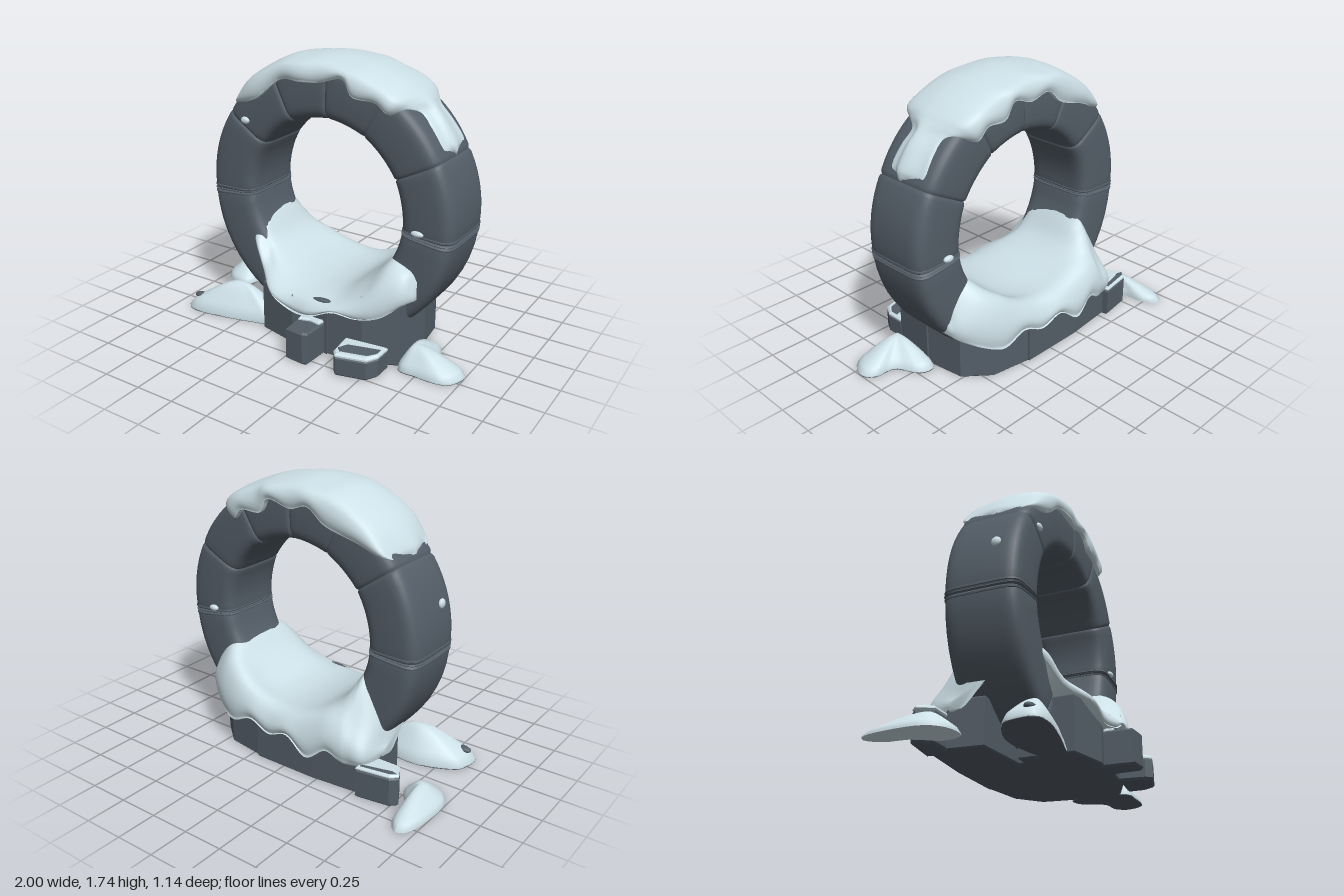
import * as THREE from 'three';
import { toCreasedNormals } from 'three/addons/utils/BufferGeometryUtils.js';

const V = (x, y, z) => new THREE.Vector3(x, y, z);
const CX = 0.045, CY = 0.865, CZ = -0.02; // ring centre
const rad = THREE.MathUtils.degToRad;

// Closed skin over a list of equal-length loops, with both ends capped
function skin(loops, crease = 0.7) {
  const n = loops[0].length, pts = loops.flat(), idx = [];
  for (let i = 0; i < loops.length - 1; i++) {
    for (let j = 0; j < n; j++) {
      const a = i * n + j, b = i * n + (j + 1) % n;
      idx.push(a, b, a + n, b, b + n, a + n);
    }
  }
  [0, loops.length - 1].forEach((row, end) => {
    const mid = loops[row].reduce((s, p) => s.add(p), V(0, 0, 0)).divideScalar(n);
    const c = pts.push(mid) - 1;
    for (let j = 0; j < n; j++) {
      const a = row * n + j, b = row * n + (j + 1) % n;
      if (end) idx.push(a, b, c); else idx.push(b, a, c);
    }
  });
  // Turn the faces outward if the enclosed volume is negative
  let volume = 0;
  for (let i = 0; i < idx.length; i += 3) {
    volume += pts[idx[i]].dot(V(0, 0, 0).crossVectors(pts[idx[i + 1]], pts[idx[i + 2]]));
  }
  if (volume < 0) idx.reverse();
  const g = new THREE.BufferGeometry().setFromPoints(pts);
  g.setIndex(idx);
  return toCreasedNormals(g, crease);
}

const smoothLoop = (pts, n) =>
  new THREE.CatmullRomCurve3(pts, true, 'catmullrom', 0.5).getPoints(n).slice(0, n);

// Smooth a few rough cross-sections in both directions
function softLoft(sections, along, around) {
  const fine = sections.map(s => smoothLoop(s, around));
  const rails = fine[0].map((_, j) =>
    new THREE.CatmullRomCurve3(fine.map(s => s[j]), false, 'catmullrom', 0.5).getPoints(along));
  return skin(rails[0].map((_, i) => rails.map(r => r[i])), 1);
}

// Rounded-rectangle section of the ring at an angle
function ringSection(deg, scale = 1) {
  const a = rad(deg), loop = [], pw = (v, e) => Math.sign(v) * Math.abs(v) ** e;
  for (let k = 0; k < 36; k++) {
    const t = k / 36 * Math.PI * 2;
    const r = 0.675 + 0.165 * scale * pw(Math.cos(t), 0.42);
    loop.push(V(CX + r * Math.cos(a), CY + r * Math.sin(a), CZ + 0.23 * scale * pw(Math.sin(t), 0.34)));
  }
  return loop;
}

// Upright prism from a plan outline of [x, z] points
function prism(plan, y0, h, bevel = 0.008) {
  const shape = new THREE.Shape(plan.map(([x, z]) => new THREE.Vector2(x, -z)));
  return new THREE.ExtrudeGeometry(shape, {
    depth: h - 2 * bevel, bevelEnabled: true, bevelSize: bevel,
    bevelThickness: bevel, bevelOffset: -bevel, bevelSegments: 1,
  }).rotateX(-Math.PI / 2).translate(0, y0 + bevel, 0);
}

// Snow heap rising from a plan outline to a rounded peak
function heap(plan, [px, pz], h) {
  const base = smoothLoop(plan.map(([x, z]) => V(x, 0.003, z)), 32), loops = [base];
  for (let k = 0; k <= 10; k++) {
    const t = k / 10, s = 1 - t * 0.98;
    const y = h * (0.08 + 0.45 * Math.sqrt(1 - (1 - t) ** 2) + 0.47 * t * t * (3 - 2 * t));
    loops.push(base.map(p => V(px + (p.x - px) * s, y, pz + (p.z - pz) * s)));
  }
  return skin(loops, 1);
}

export function createModel() {
  const model = new THREE.Group();
  const stone = new THREE.MeshStandardMaterial({ color: 0x545e68 });
  stone.name = 'slate stone';
  const snow = new THREE.MeshStandardMaterial({ color: 0xcee1e8 });
  snow.name = 'pale snow';
  const add = (name, geometry, material) => {
    const m = new THREE.Mesh(geometry, material);
    m.name = name;
    model.add(m);
  };

  // Ring of bevelled stone segments
  const joints = [-6, 27, 60, 88, 115, 145, 184, 237, 300, 354];
  for (let i = 0; i < joints.length - 1; i++) {
    const a = joints[i], b = joints[i + 1], loops = [ringSection(a, 0.95), ringSection(a + 0.9, 0.985)];
    for (let k = 0; k <= 8; k++) {
      const t = k / 8;
      loops.push(ringSection(a + 1.8 + (b - a - 3.6) * t, 0.995 + 0.012 * Math.sin(t * Math.PI)));
    }
    loops.push(ringSection(b - 0.9, 0.985), ringSection(b, 0.95));
    add('ringSegment', skin(loops), stone);
  }

  // Ridged bands where the ring is at its widest
  for (const mid of [183.5, -6]) {
    const scales = [0.95, 1.01, 1.015, 0.965, 1.02, 0.97, 1.015, 1.01, 0.95];
    add('ringBand', skin(scales.map((s, k) => ringSection(mid + (k - 4) * 0.65, s)), 0.4), stone);
  }

  // Snow draped on the top of the ring: angle, top radius, front z, back z, front edge, back edge
  const cap = [
    [143, 0.845, 0.08, -0.14, 0.82, 0.82], [139, 0.865, 0.19, -0.24, 0.80, 0.79],
    [127, 0.887, 0.24, -0.27, 0.735, 0.74], [111, 0.893, 0.23, -0.28, 0.765, 0.70],
    [100, 0.88, 0.25, -0.285, 0.74, 0.75], [90, 0.877, 0.235, -0.28, 0.735, 0.71],
    [79, 0.875, 0.235, -0.29, 0.785, 0.76], [72, 0.877, 0.25, -0.285, 0.72, 0.69],
    [62, 0.884, 0.24, -0.29, 0.76, 0.74], [55, 0.887, 0.235, -0.28, 0.755, 0.72],
    [51, 0.885, 0.16, -0.23, 0.77, 0.76], [47, 0.883, 0.085, -0.17, 0.79, 0.79],
    [40, 0.88, 0.09, -0.165, 0.8, 0.8], [32, 0.872, 0.1, -0.175, 0.8, 0.8],
    [29, 0.86, 0.07, -0.14, 0.8, 0.8], [27.5, 0.845, 0.03, -0.1, 0.81, 0.81],
  ];
  add('topSnow', softLoft(cap.map(([deg, top, zf, zb, rf, rb]) => {
    const a = rad(deg), c = (zf + zb) / 2 + 0.03;
    return [
      [zf - 0.06, rf], [zf - 0.005, rf + 0.012], [zf, (rf + top) / 2], [zf - 0.05, top - 0.025], [c, top],
      [zb + 0.06, top - 0.028], [zb, (rb + top) / 2], [zb + 0.005, rb + 0.012], [zb + 0.06, rb],
    ].map(([z, r]) => V(CX + r * Math.cos(a), CY + r * Math.sin(a), z));
  }), 72, 40), snow);

  // Base of upright blocks
  const blocks = [
    [[[-0.31, 0.33], [-0.05, 0.39], [0.01, 0.38], [0.01, 0], [-0.31, 0]], 0.33],
    [[[0, 0.37], [0.2, 0.39], [0.2, 0], [0, 0]], 0.29],
    [[[0.19, 0.38], [0.42, 0.36], [0.42, 0], [0.19, 0]], 0.33],
    [[[0.41, 0.36], [0.62, 0.27], [0.645, 0], [0.41, 0]], 0.44],
    [[[-0.61, -0.27], [-0.55, -0.39], [-0.21, -0.42], [-0.21, -0.03], [-0.59, -0.06]], 0.28],
    [[[-0.22, -0.42], [0.2, -0.42], [0.2, 0.02], [-0.22, 0.02]], 0.31],
    [[[0.19, -0.41], [0.45, -0.37], [0.6, -0.24], [0.635, 0.02], [0.19, 0.02]], 0.34],
  ];
  blocks.forEach(([plan, h]) => add('baseBlock', prism(plan, 0, h), stone));

  // Snow saddle on the base: x, front z, back z, middle y, front rim, back rim, front edge, back edge
  const saddle = [
    [-0.62, 0.05, -0.25, 0.45, 0.4, 0.3, 0.37, 0.22], [-0.57, 0.1, -0.40, 0.5, 0.44, 0.36, 0.4, 0.2],
    [-0.47, 0.19, -0.43, 0.69, 0.6, 0.43, 0.5, 0.2], [-0.42, 0.235, -0.44, 0.65, 0.59, 0.47, 0.47, 0.21],
    [-0.33, 0.29, -0.45, 0.52, 0.46, 0.46, 0.36, 0.24],
    [-0.2, 0.40, -0.46, 0.43, 0.375, 0.41, 0.29, 0.16], [-0.05, 0.41, -0.45, 0.385, 0.35, 0.38, 0.23, 0.24],
    [0.1, 0.43, -0.44, 0.375, 0.345, 0.38, 0.24, 0.2], [0.25, 0.42, -0.43, 0.41, 0.365, 0.43, 0.3, 0.25],
    [0.4, 0.40, -0.42, 0.52, 0.44, 0.51, 0.29, 0.2], [0.53, 0.36, -0.38, 0.64, 0.56, 0.55, 0.32, 0.24],
    [0.64, 0.31, -0.31, 0.6, 0.59, 0.52, 0.4, 0.3], [0.69, 0.25, -0.25, 0.5, 0.55, 0.45, 0.42, 0.34],
  ];
  add('baseSnow', softLoft(saddle.map(([x, zf, zb, mid, rf, rb, df, db]) => [
    [zf - 0.08, df], [zf - 0.005, df + 0.015], [zf, (rf + df) / 2], [zf - 0.06, rf], [zf * 0.45, mid],
    [zb * 0.45, mid], [zb + 0.07, rb], [zb, (rb + db) / 2], [zb + 0.005, db + 0.015], [zb + 0.08, db],
  ].map(([z, y]) => V(x, y, z))), 64, 44), snow);

  // Loose rocks
  const rocks = [
    [[[0.01, 0.36], [0.18, 0.36], [0.17, 0.55], [0.14, 0.565], [0.02, 0.555]], 0.21],
    [[[0.31, 0.36], [0.58, 0.33], [0.58, 0.44], [0.54, 0.51], [0.36, 0.555], [0.33, 0.52]], 0.125],
    [[[-0.79, -0.36], [-0.75, -0.4], [-0.54, -0.43], [-0.52, -0.27], [-0.74, -0.27]], 0.185],
  ];
  rocks.forEach(([plan, h]) => add('looseRock', prism(plan, 0, h, 0.012), stone));

  // Snow on the rocks, leaving some of the stone bare
  add('rockSnow', prism([[0.02, 0.38], [0.175, 0.38], [0.165, 0.43], [0.1, 0.42], [0.03, 0.44]], 0.2, 0.026), snow);
  add('rockSnow', prism(rocks[1][0], 0.112, 0.034, 0.012), snow);
  add('rockSnow', prism(rocks[2][0], 0.175, 0.03, 0.012), snow);
  add('rockBarePatch', prism([[0.34, 0.49], [0.37, 0.43], [0.565, 0.38], [0.565, 0.43], [0.53, 0.48], [0.37, 0.52]],
    0.142, 0.006, 0.002), stone);
  add('rockBarePatch', prism([[-0.775, -0.36], [-0.745, -0.385], [-0.56, -0.415], [-0.56, -0.395], [-0.74, -0.35]],
    0.201, 0.006, 0.002), stone);

  // Snow heaps on the ground, two of them lying on thin stone slabs
  const heaps = [
    [[[-0.9, 0.36], [-0.8, 0.39], [-0.6, 0.36], [-0.4, 0.31], [-0.29, 0.27], [-0.3, 0.14],
      [-0.6, 0.08], [-0.84, 0.16], [-0.9, 0.25]], [-0.57, 0.22], 0.21, true],
    [[[-0.98, -0.5], [-0.91, -0.58], [-0.84, -0.5], [-0.82, -0.34], [-0.74, -0.22],
      [-0.78, -0.09], [-0.92, -0.1], [-1, -0.22]], [-0.86, -0.24], 0.12, false],
    [[[0.95, 0.12], [1, 0.2], [0.93, 0.31], [0.75, 0.32], [0.63, 0.3], [0.61, 0.1], [0.64, -0.05],
      [0.74, -0.04], [0.82, 0.1]], [0.7, 0.21], 0.145, true],
  ];
  heaps.forEach(([plan, peak, h, slab]) => {
    add('snowHeap', heap(plan, peak, h), snow);
    if (slab) {
      const edge = smoothLoop(plan.map(([x, z]) => V(x, 0, z)), 32);
      add('heapSlab', skin([edge, edge.map(p => V(p.x, 0.005, p.z))]), stone);
    }
  });

  // Small lumps: x, y, z and half sizes
  const lump = (name, material, [x, y, z, sx, sy, sz]) =>
    add(name, new THREE.SphereGeometry(1, 12, 8).scale(sx, sy, sz).translate(x, y, z), material);
  [
    [-0.5, 1.3, 0.21, 0.032, 0.022, 0.018], [0.68, 0.83, 0.21, 0.04, 0.018, 0.02],
    [0.68, 0.83, -0.255, 0.035, 0.02, 0.02], [-0.765, 1.09, 0.07, 0.018, 0.03, 0.03],
  ].forEach(s => lump('snowChip', snow, s));
  lump('bareStone', stone, [0.18, 0.338, 0.365, 0.1, 0.018, 0.025]);
  lump('bareStone', stone, [-0.83, 0.075, 0.31, 0.06, 0.022, 0.03]);

  return model;
}
